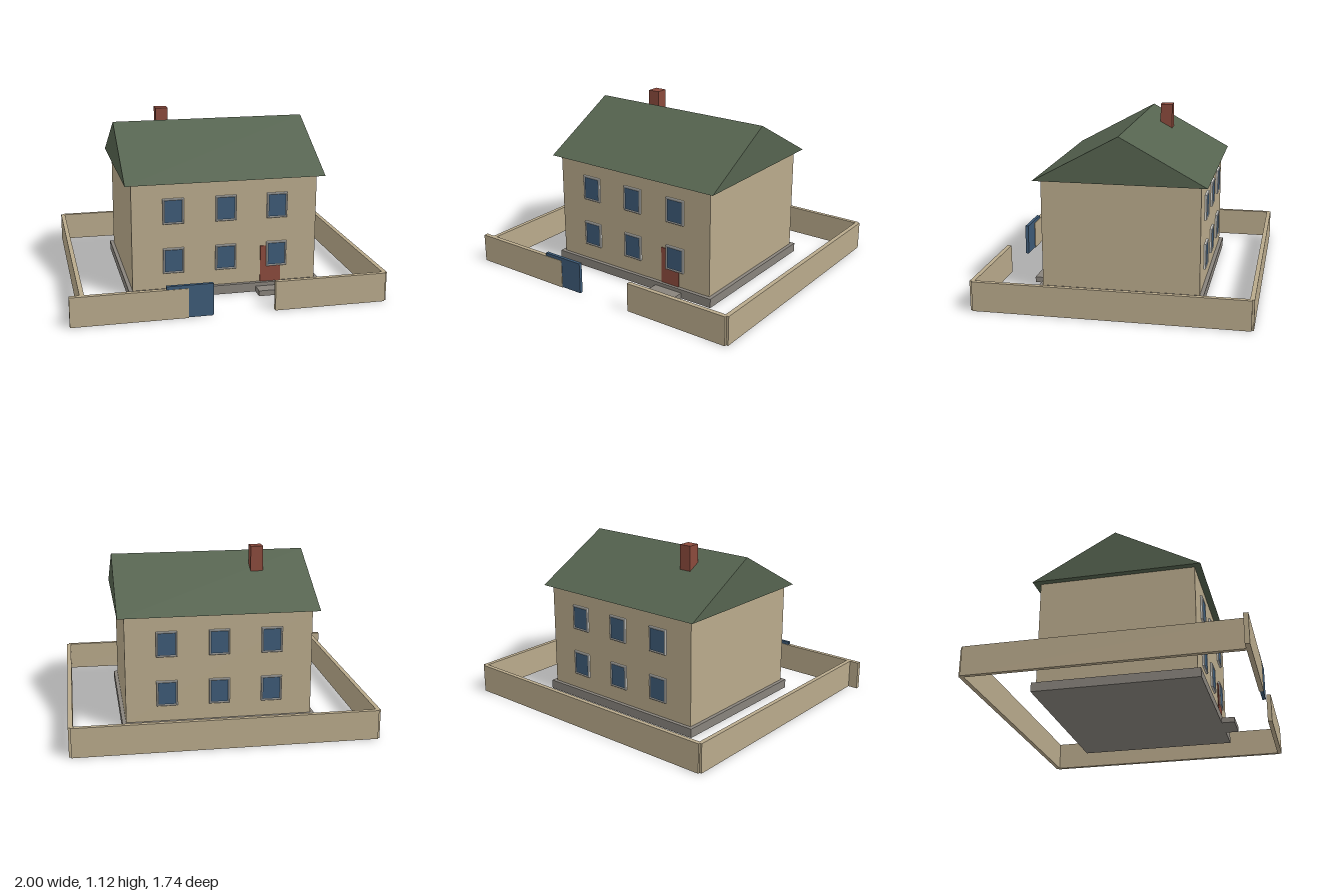
import * as THREE from 'three';

const paint = (name, color) => {
  const m = new THREE.MeshStandardMaterial({ color });
  m.name = name;
  return m;
};

export function createModel() {
  const model = new THREE.Group();
  model.name = 'houseWithYard';
  const plaster = paint('plaster', 0xb8a98b);
  const roofGreen = paint('roofGreen', 0x55634f);
  const brick = paint('brickRed', 0x8a4a3c);
  const stone = paint('stoneGrey', 0x88837c);
  const blue = paint('blue', 0x3d5a76);
  const frameWhite = paint('frameWhite', 0xd6d6d2);

  const add = (name, geometry, material, parent = model) => {
    const mesh = new THREE.Mesh(geometry, material);
    mesh.name = name;
    parent.add(mesh);
    return mesh;
  };
  // Box given by its limits on each axis
  const box = (name, material, [x0, x1], [y0, y1], [z0, z1], parent) => {
    const mesh = add(name, new THREE.BoxGeometry(x1 - x0, y1 - y0, z1 - z0), material, parent);
    mesh.position.set((x0 + x1) / 2, (y0 + y1) / 2, (z0 + z1) / 2);
    return mesh;
  };

  // House body, plinth and door step
  box('plinth', stone, [-0.6, 0.658], [0, 0.06], [-0.533, 0.533]);
  box('houseWalls', plaster, [-0.575, 0.633], [0.06, 0.762], [-0.508, 0.508]);
  box('doorStep', stone, [0.229, 0.434], [0, 0.036], [0.5, 0.62]);
  box('door', brick, [0.263, 0.399], [0.06, 0.304], [0.5, 0.514]);

  // Gable roof
  const gable = new THREE.Shape([
    new THREE.Vector2(-0.552, 0.76),
    new THREE.Vector2(0.552, 0.76),
    new THREE.Vector2(0, 1.06),
  ]);
  const roofGeometry = new THREE.ExtrudeGeometry(gable, { depth: 1.294, bevelEnabled: false });
  roofGeometry.rotateY(Math.PI / 2);
  add('roof', roofGeometry, roofGreen).position.x = -0.617;
  box('chimney', brick, [-0.311, -0.229], [0.88, 1.12], [-0.194, -0.113]);

  // Window frame with a chamfered edge around a recessed pane
  const rectangle = (C, w, h) => new C([
    new THREE.Vector2(-w / 2, -h / 2), new THREE.Vector2(w / 2, -h / 2),
    new THREE.Vector2(w / 2, h / 2), new THREE.Vector2(-w / 2, h / 2),
  ]);
  const bevel = 0.004;
  const outline = rectangle(THREE.Shape, 0.135 - 2 * bevel, 0.166 - 2 * bevel);
  outline.holes.push(rectangle(THREE.Path, 0.113 + 2 * bevel, 0.144 + 2 * bevel));
  const frameGeometry = new THREE.ExtrudeGeometry(outline, {
    depth: 0.012, bevelThickness: bevel, bevelSize: bevel, bevelSegments: 1,
  });
  const paneGeometry = new THREE.BoxGeometry(0.118, 0.149, 0.009);

  // Three windows on two floors, front and back
  for (const side of [1, -1]) {
    for (const y of [0.248, 0.575]) {
      for (const x of [-0.31, 0.031, 0.369]) {
        const win = new THREE.Group();
        win.name = side > 0 ? 'frontWindow' : 'backWindow';
        add('windowFrame', frameGeometry, frameWhite, win);
        add('windowPane', paneGeometry, blue, win).position.z = 0.0075;
        win.position.set(x, y, side * 0.507);
        if (side < 0) win.rotation.y = Math.PI;
        model.add(win);
      }
    }
  }

  // Yard walls with a sliding gate in the front opening
  const yard = new THREE.Group();
  yard.name = 'yardWall';
  model.add(yard);
  const height = [0, 0.19];
  box('backWall', plaster, [-0.922, 0.985], height, [-0.87, -0.842], yard);
  box('rightWall', plaster, [-0.936, -0.908], height, [-0.857, 0.852], yard);
  box('leftWall', plaster, [0.97, 0.999], height, [-0.857, 0.852], yard);
  box('frontWallRight', plaster, [-1, -0.281], height, [0.839, 0.868], yard);
  box('frontWallLeft', plaster, [0.265, 0.985], height, [0.839, 0.868], yard);
  box('gate', blue, [-0.418, -0.127], [0.003, 0.211], [0.843, 0.865], yard);
  return model;
}
